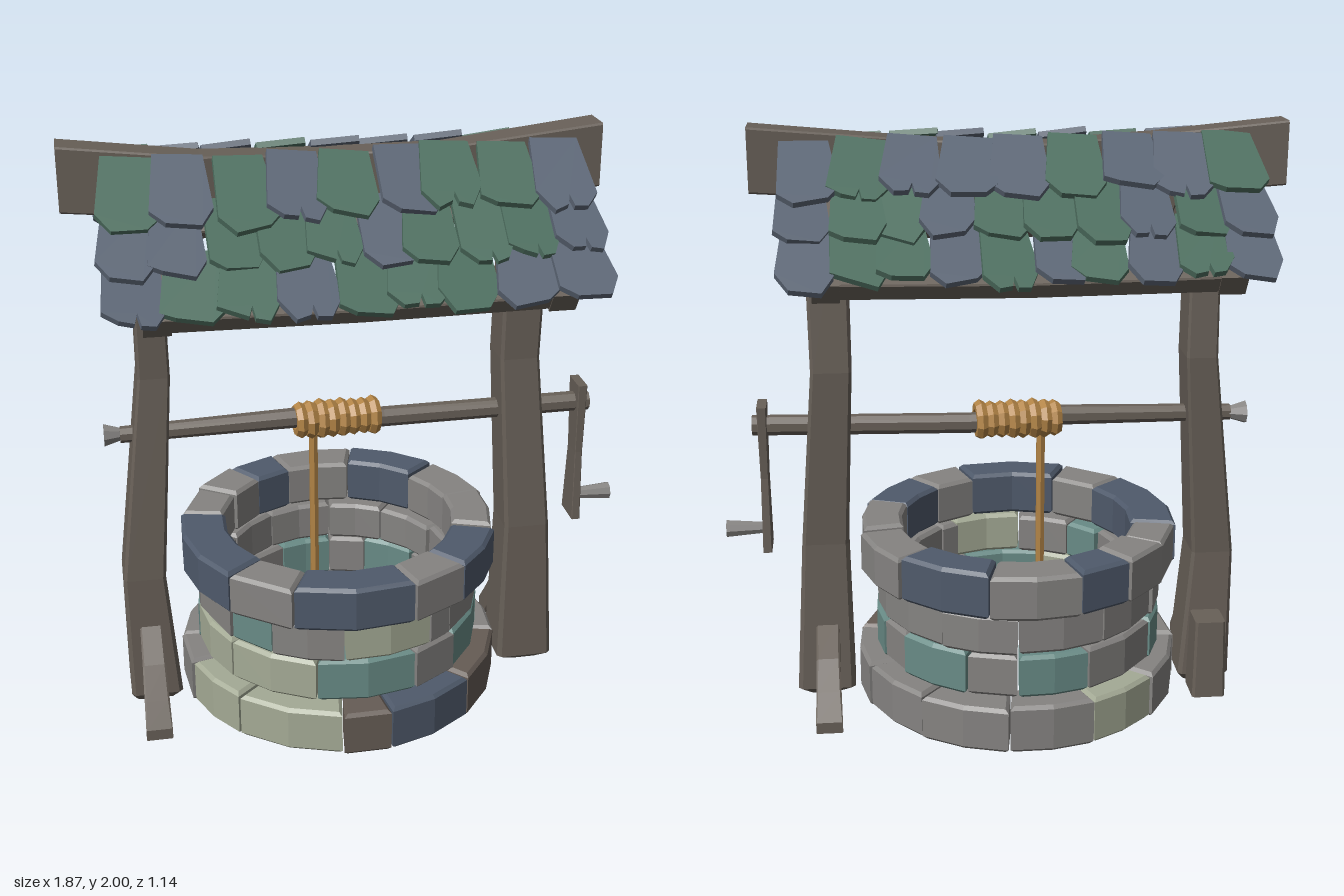
import * as THREE from 'three';

const material = (name, color) => {
  const m = new THREE.MeshStandardMaterial({ color });
  m.name = name;
  return m;
};
const wood = material('wood', 0x686058);
const rope = material('rope', 0xb28446);
const green = material('green shingle', 0x4f7061);
const slate = material('slate shingle', 0x5d6776);
const grey = material('grey stone', 0x858381);
const blue = material('blue stone', 0x4f5a6b);
const sage = material('sage stone', 0xa4aa95);
const teal = material('teal stone', 0x688b86);
const brown = material('brown stone', 0x665c55);

// small seeded generator, jitter(a) gives -a..a
let seed = 7;
const random = () => (seed = (seed * 16807) % 2147483647) / 2147483647;
const jitter = (a) => (random() * 2 - 1) * a;

function add(parent, name, geometry, mat, x = 0, y = 0, z = 0) {
  const g = geometry.index ? geometry.toNonIndexed() : geometry;
  g.computeVertexNormals(); // faceted look
  const mesh = new THREE.Mesh(g, mat);
  mesh.name = name;
  mesh.position.set(x, y, z);
  parent.add(mesh);
  return mesh;
}

// Chamfered timber through sections [x, y, z, halfU, halfV], ordered along +axis.
const frames = { x: ['y', 'z'], y: ['z', 'x'], z: ['x', 'y'] };
function timber(axis, sections, chamfer = 0.15) {
  const [u, v] = frames[axis];
  const rings = sections.map(([x, y, z, hu, hv]) => {
    const c = Math.min(hu, hv) * chamfer;
    return [[hu, c - hv], [hu, hv - c], [hu - c, hv], [c - hu, hv],
      [-hu, hv - c], [-hu, c - hv], [c - hu, -hv], [hu - c, -hv]].map(([a, b]) => {
      const p = new THREE.Vector3(x, y, z);
      p[u] += a;
      p[v] += b;
      return p;
    });
  });
  const tris = [];
  const last = rings.length - 1;
  for (let i = 0; i < last; i++) {
    for (let j = 0; j < 8; j++) {
      const k = (j + 1) % 8;
      const [a, b, c, d] = [rings[i][j], rings[i][k], rings[i + 1][k], rings[i + 1][j]];
      tris.push(a, b, c, a, c, d);
    }
  }
  for (let j = 1; j < 7; j++) {
    tris.push(rings[0][0], rings[0][j + 1], rings[0][j]);
    tris.push(rings[last][0], rings[last][j], rings[last][j + 1]);
  }
  return new THREE.BufferGeometry().setFromPoints(tris);
}

// One curved stone between two angles (0 = front, growing towards +x).
function stone(a0, a1, inner, outer, height) {
  const bevel = 0.012;
  const n = Math.max(1, Math.round((a1 - a0) / 0.32));
  const shape = [];
  const arc = (r, from, to) => {
    const gap = (bevel + 0.002) / r * Math.sign(to - from);
    for (let i = 0; i <= n; i++) {
      const a = from + gap + (to - from - 2 * gap) * i / n;
      shape.push(new THREE.Vector2(r * Math.sin(a), -r * Math.cos(a)));
    }
  };
  arc(outer - bevel, a0, a1);
  arc(inner + bevel, a1, a0);
  const g = new THREE.ExtrudeGeometry(new THREE.Shape(shape), {
    depth: height - 2 * bevel, bevelThickness: bevel, bevelSize: bevel, bevelSegments: 1,
  });
  return g.translate(0, 0, bevel).rotateX(-Math.PI / 2);
}

// Chipped shingle hanging down from the local origin.
function shingle(w, l, notched) {
  const h = w / 2;
  const pts = [[-h * 0.8, 0], [h * 0.8, 0], [h, -l * (0.76 + jitter(0.06))], [h * 0.6, -l + jitter(0.015)]];
  if (notched) pts.push([h * 0.16, -l], [h * 0.06, -l * 0.84], [-h * 0.04, -l * 0.98]);
  pts.push([-h * 0.5, -l + jitter(0.025)], [-h, -l * (0.82 + jitter(0.06))]);
  const shape = new THREE.Shape(pts.map(([x, y]) => new THREE.Vector2(x, y)));
  return new THREE.ExtrudeGeometry(shape, { depth: 0.02, bevelEnabled: false });
}

function buildWall() {
  const wall = new THREE.Group();
  wall.name = 'stoneWall';
  wall.position.set(-0.065, 0, -0.007);
  const palette = { g: grey, b: blue, s: sage, t: teal, n: brown };
  // base, height, inner and outer radius, start angle, then colour letter and angular width
  const courses = [
    [0.02, 0.162, 0.42, 0.555, -8, 'n17 b34 n35 g32 g30 g32 g30 s28 g35 g20 s28 s39'],
    [0.188, 0.15, 0.38, 0.495, -18, 't40 g21 t37 t28 g17 t30 g20 t28 g37 t30 s34 s38'],
    [0.343, 0.142, 0.38, 0.495, -7, 's36 g11 g40 g30 g35 g30 g35 g32 g35 g27 t20 g29'],
    [0.487, 0.155, 0.4, 0.545, -25, 'b43 g22 b30 g30 g30 b35 g32 b20 g20 g21 b52 g25'],
  ];
  for (const [y, height, inner, outer, start, list] of courses) {
    let angle = start;
    for (const item of list.split(' ')) {
      const next = angle + Number(item.slice(1));
      const g = stone(THREE.MathUtils.degToRad(angle), THREE.MathUtils.degToRad(next),
        inner + jitter(0.008), outer + jitter(0.007), height + jitter(0.006));
      add(wall, 'wallStone', g, palette[item[0]], 0, y, 0);
      angle = next;
    }
  }
  return wall;
}

function buildFrame() {
  const frame = new THREE.Group();
  frame.name = 'timberFrame';
  add(frame, 'rightPost', timber('y', [[-0.735, 0.005, 0, 0.07, 0.07], [-0.73, 0.04, 0, 0.1, 0.09],
    [-0.75, 0.5, 0.01, 0.085, 0.072], [-0.68, 1.22, -0.03, 0.078, 0.053],
    [-0.685, 1.86, 0, 0.068, 0.048]]), wood);
  add(frame, 'leftPost', timber('y', [[0.62, 0.005, 0, 0.05, 0.05], [0.61, 0.045, 0, 0.1, 0.1],
    [0.598, 0.58, 0.01, 0.085, 0.08], [0.56, 1.2, -0.03, 0.078, 0.068],
    [0.565, 1.86, 0, 0.068, 0.072]]), wood);
  add(frame, 'ridgeBeam', timber('x', [[-0.94, 1.895, -0.015, 0.105, 0.058],
    [-0.5, 1.855, 0.012, 0.1, 0.055], [-0.1, 1.84, -0.028, 0.095, 0.058],
    [0.28, 1.85, 0.018, 0.1, 0.052], [0.8, 1.895, -0.015, 0.105, 0.062]], 0.1), wood);

  // props at the foot of the posts
  add(frame, 'frontProp', timber('z', [[-0.74, 0.3, 0.06, 0.037, 0.05], [-0.74, 0.17, 0.2, 0.04, 0.055],
    [-0.74, 0.065, 0.27, 0.043, 0.06], [-0.74, 0.025, 0.325, 0.045, 0.02]]), wood);
  add(frame, 'backProp', timber('z', [[0.6, 0.025, -0.345, 0.045, 0.02], [0.6, 0.065, -0.28, 0.043, 0.06],
    [0.6, 0.16, -0.21, 0.04, 0.055], [0.6, 0.245, -0.07, 0.04, 0.05]]), wood);
  add(frame, 'footBlock', timber('y', [[-0.725, 0.01, -0.155, 0.065, 0.058],
    [-0.725, 0.29, -0.15, 0.055, 0.052]]), wood);

  // rafters, braces and eave rails on both slopes
  const strut = (name, x, z0, y0, z1, y1, w, h) => {
    const length = Math.hypot(z1 - z0, y1 - y0);
    const m = add(frame, name, new THREE.BoxGeometry(w, h, length), wood, x, (y0 + y1) / 2, (z0 + z1) / 2);
    m.rotation.x = -Math.atan2(y1 - y0, z1 - z0);
  };
  for (const s of [1, -1]) {
    for (const x of [-0.68, 0.56]) {
      strut('rafter', x, 0.02 * s, 1.865, 0.48 * s, 1.555, 0.085, 0.075);
      strut('brace', x, 0.04 * s, 1.45, 0.27 * s, 1.68, 0.075, 0.055);
    }
    const rail = add(frame, 'eaveRail', timber('x', [[-0.68, 0.006, 0, 0.034, 0.036],
      [-0.06, -0.006, 0, 0.032, 0.036], [0.56, 0.006, 0, 0.034, 0.036]]), wood, 0, 1.574, 0.445 * s);
    rail.rotation.x = 0.6 * s;
  }
  return frame;
}

function buildRoof() {
  const roof = new THREE.Group();
  roof.name = 'roof';
  // shingle colours from -x to +x, ridge row first
  const slopes = {
    front: ['gsgsgsggs', 'ssgggsgggs', 'sggsgggss'],
    back: ['gssgsssgs', 'sgsgggsggs', 'sgsgsgsggs'],
  };
  for (const [side, rows] of Object.entries(slopes)) {
    const turn = new THREE.Group();
    turn.name = side + 'Slope';
    turn.rotation.y = side === 'front' ? 0 : Math.PI;
    const plane = new THREE.Group();
    plane.position.set(0, 1.94, 0.05);
    plane.rotation.x = -THREE.MathUtils.degToRad(50);
    turn.add(plane);
    roof.add(turn);
    rows.forEach((row, k) => {
      const step = 1.53 / row.length;
      [...row].forEach((c, i) => {
        const x = -0.825 + step * (i + 0.5) + jitter(0.012);
        const g = shingle(step * 1.15, 0.275 + jitter(0.02), random() < 0.25);
        const m = add(plane, 'shingle', g, c === 'g' ? green : slate,
          side === 'front' ? x : -x, -0.165 * k + jitter(0.012), 0.008 - 0.004 * k);
        m.rotation.set(-0.13 + jitter(0.04), 0.08 + jitter(0.06), jitter(0.09));
      });
    });
  }
  return roof;
}

function buildWinch() {
  const winch = new THREE.Group();
  winch.name = 'winch';
  add(winch, 'axle', timber('x', [[-0.8, 1.0, -0.02, 0.026, 0.026], [-0.2, 1.01, -0.03, 0.032, 0.032],
    [0.1, 0.99, -0.03, 0.032, 0.032], [0.83, 1.0, -0.02, 0.032, 0.032]], 0.58), wood);
  add(winch, 'crankArm', timber('y', [[0.795, 0.56, -0.02, 0.06, 0.015],
    [0.795, 0.82, -0.015, 0.042, 0.013], [0.795, 1.075, -0.02, 0.052, 0.016]]), wood);
  const knob = (name, r0, r1, length, x, y) => {
    const m = add(winch, name, new THREE.CylinderGeometry(r1, r0, length, 8), grey, x, y, -0.025);
    m.rotation.z = x > 0 ? -Math.PI / 2 : Math.PI / 2;
  };
  knob('crankHandle', 0.02, 0.031, 0.13, 0.868, 0.632);
  knob('axleKnob', 0.018, 0.04, 0.07, -0.818, 1.0);

  // wound rope and its hanging end
  for (let i = 0; i < 8; i++) {
    const coil = add(winch, 'ropeCoil', new THREE.TorusGeometry(0.047 + jitter(0.004), 0.021, 6, 9), rope,
      -0.19 + 0.036 * i, 1.0, -0.03);
    coil.rotation.set(jitter(0.3), Math.PI / 2 + 0.1, 0);
  }
  add(winch, 'hangingRope', new THREE.CylinderGeometry(0.016, 0.016, 0.85, 6), rope, -0.145, 0.535, -0.025);
  return winch;
}

export function createModel() {
  const well = new THREE.Group();
  well.name = 'well';
  well.add(buildWall(), buildFrame(), buildRoof(), buildWinch());
  return well;
}
